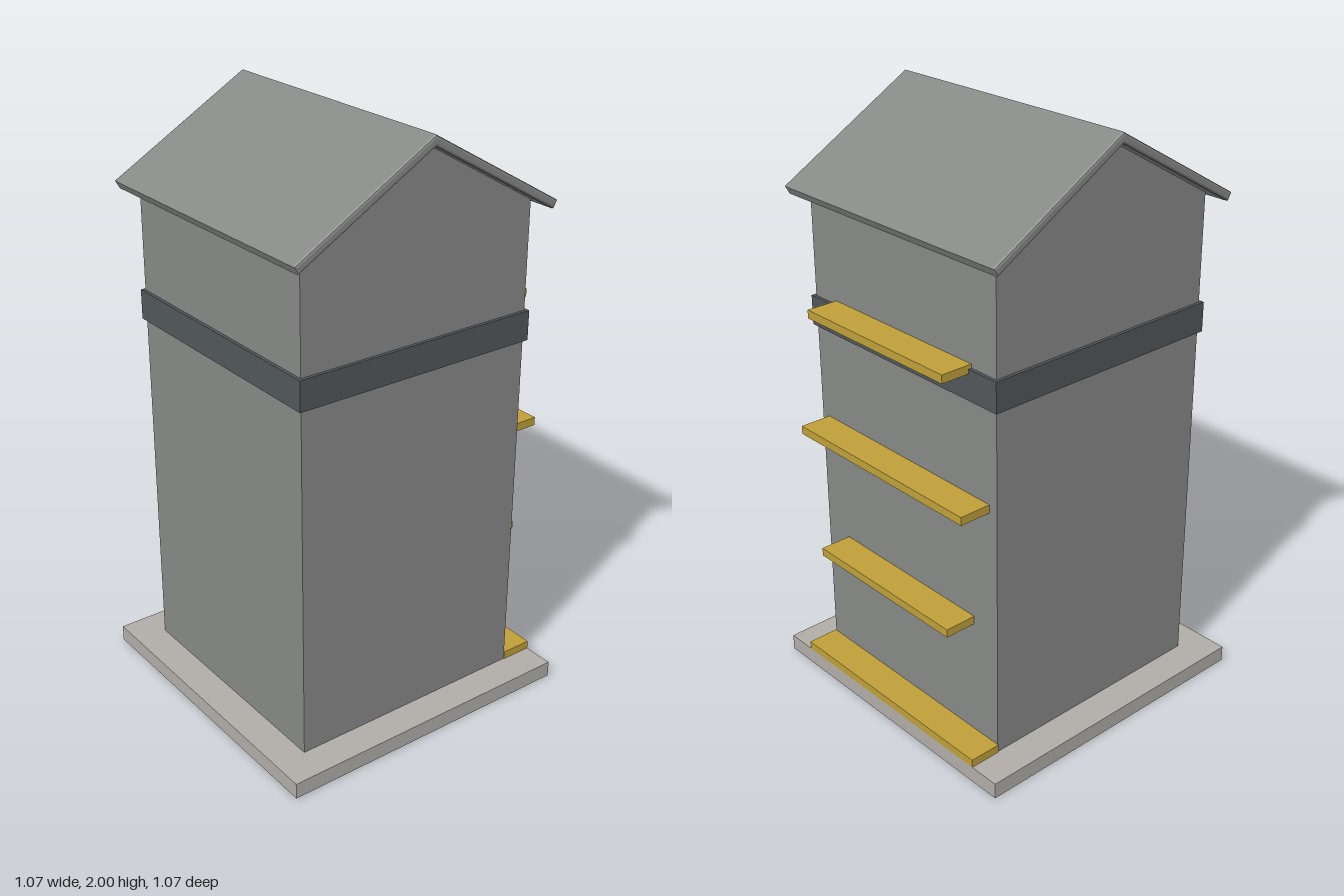
import * as THREE from 'three';

const material = (name, color) => {
  const m = new THREE.MeshStandardMaterial({ color });
  m.name = name;
  return m;
};

export function createModel() {
  const group = new THREE.Group();
  const wallGrey = material('wall grey', 0x868886);
  const bandGrey = material('dark band grey', 0x51565a);
  const stone = material('pale stone', 0xb0ada8);
  const ochre = material('ochre', 0xbf9f3a);

  const add = (name, geometry, mat, x = 0, y = 0, z = 0) => {
    const mesh = new THREE.Mesh(geometry, mat);
    mesh.name = name;
    mesh.position.set(x, y, z);
    group.add(mesh);
  };
  const polygon = (points) => new THREE.Shape(points.map(([x, y]) => new THREE.Vector2(x, y)));

  // Base slab
  const baseTop = 0.055, baseHalf = 0.537;
  add('base', new THREE.BoxGeometry(2 * baseHalf, baseTop, 2 * baseHalf), stone, 0, baseTop / 2);

  // Gabled tower body
  const half = 0.427, slope = Math.tan(Math.PI / 6), peak = 1.97;
  const eave = peak - half * slope;
  const bodyShape = polygon([[-half, baseTop], [half, baseTop], [half, eave], [0, peak], [-half, eave]]);
  add('body', new THREE.ExtrudeGeometry(bodyShape, { depth: 2 * half, bevelEnabled: false }),
    wallGrey, 0, 0, -half);

  // Band around the tower
  add('band', new THREE.BoxGeometry(0.876, 0.1, 0.876), bandGrey, 0, 1.31);

  // Roof: a folded slab with square-cut eaves and small rounded edges
  const reach = 0.485, thick = 0.03, bevel = 0.008, length = 0.968;
  const outerY = 2 - reach * slope;
  const innerX = reach - thick * 0.5, innerY = outerY - thick * 0.866;
  const roofShape = polygon([
    [0, 2], [-reach, outerY], [-innerX, innerY],
    [0, 2 - thick / 0.866], [innerX, innerY], [reach, outerY],
  ]);
  add('roof', new THREE.ExtrudeGeometry(roofShape, {
    depth: length - 2 * bevel, bevelSize: bevel, bevelThickness: bevel,
    bevelOffset: -bevel, bevelSegments: 2,
  }), wallGrey, 0, 0, bevel - length / 2);

  // Ledges on the left wall: [bottom height, half width]
  const ledges = [[baseTop, 0.43], [0.488, 0.32], [0.916, 0.394], [1.345, 0.32]];
  const ledgeDepth = baseHalf - half, ledgeHeight = 0.028;
  for (const [y, w] of ledges) {
    add('ledge', new THREE.BoxGeometry(ledgeDepth, ledgeHeight, 2 * w), ochre,
      half + ledgeDepth / 2, y + ledgeHeight / 2);
  }
  return group;
}
